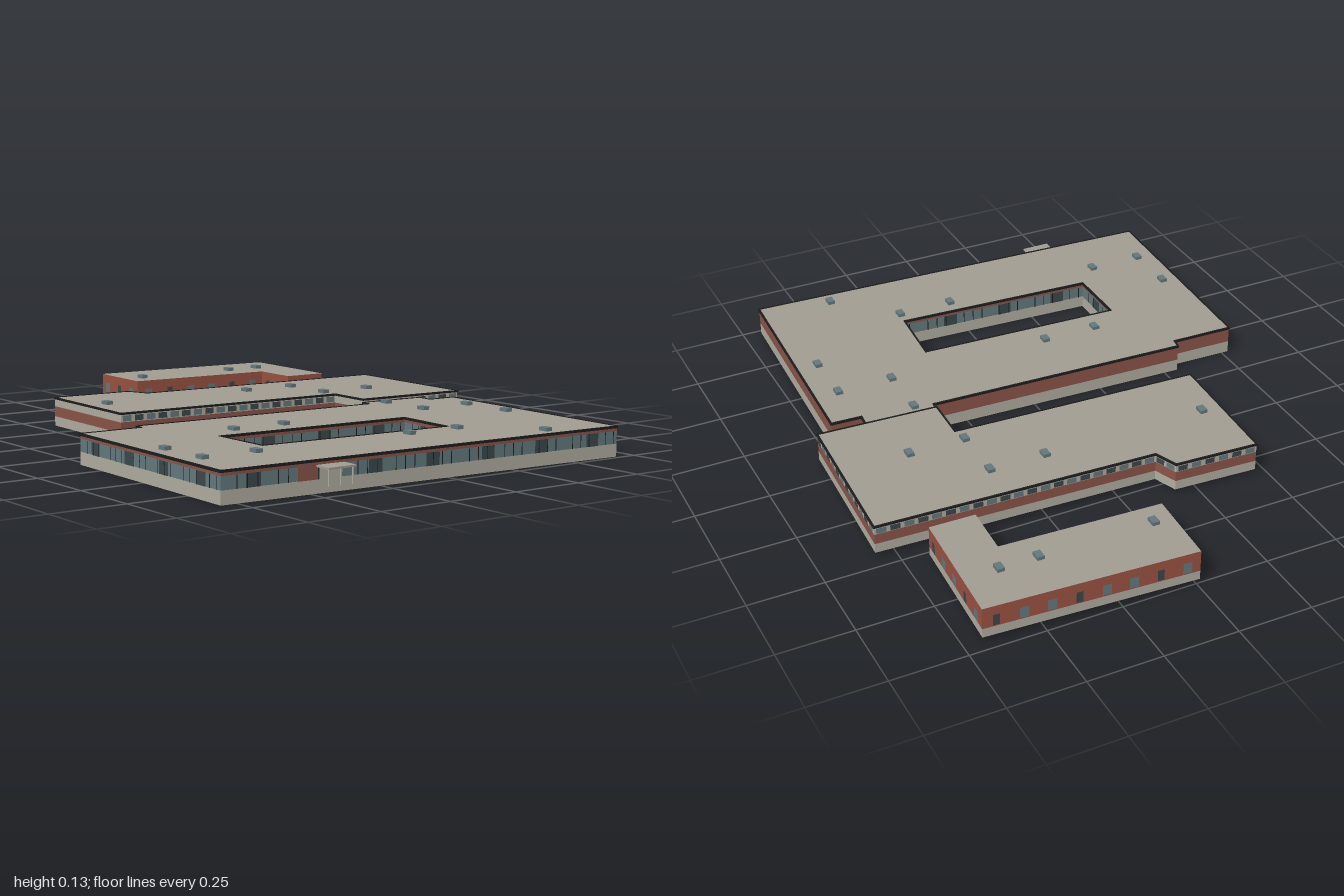
import * as THREE from 'three';
import { mergeGeometries } from 'three/addons/utils/BufferGeometryUtils.js';

const material = (name, color) => {
  const m = new THREE.MeshStandardMaterial({ color, side: THREE.DoubleSide });
  m.name = name;
  return m;
};
const roofMat = material('roof gravel', 0xa29e93);
const concrete = material('concrete', 0xb0aca0);
const brick = material('brick', 0x8a5448);
const redBrick = material('bright brick', 0x9a5242);
const glass = material('glass', 0x64797d);
const darkGlass = material('dark glass', 0x3a484b);
const rimMat = material('black trim', 0x1d1d1d);

function addMesh(group, name, geometry, mat) {
  const mesh = new THREE.Mesh(geometry, mat);
  mesh.name = name;
  group.add(mesh);
}

// Upright rectangle on a wall edge, from s0 to s1 along it, pushed outward by off
function strip([a, b], s0, s1, y0, y1, off = 0) {
  const dx = b[0] - a[0], dz = b[1] - a[1], len = Math.hypot(dx, dz);
  const at = (s, y) => [a[0] + (dx * s + dz * off) / len, y, a[1] + (dz * s - dx * off) / len];
  const g = new THREE.BufferGeometry();
  const p = [at(s0, y0), at(s0, y1), at(s1, y1), at(s1, y0)].flat();
  g.setAttribute('position', new THREE.Float32BufferAttribute(p, 3));
  g.setIndex([0, 1, 2, 0, 2, 3]);
  g.computeVertexNormals();
  return g;
}
const length = ([a, b]) => Math.hypot(b[0] - a[0], b[1] - a[1]);
const edgesOf = (pts) => pts.map((p, i) => [p, pts[(i + 1) % pts.length]]);

// One horizontal band of wall along a list of edges
function band(group, name, edges, y0, y1, mat) {
  addMesh(group, name, mergeGeometries(edges.map((e) => strip(e, 0, length(e), y0, y1))), mat);
}

// Evenly spaced thin panels along edges; keep(i) chooses which are made
function panels(group, name, edges, y0, y1, pitch, width, mat, keep = () => true, off = 0.002) {
  const parts = [];
  for (const e of edges) {
    const len = length(e), n = Math.max(1, Math.round(len / pitch)), step = len / n;
    if (len < width + 0.01) continue;
    for (let i = 0; i < n; i++) {
      const mid = (i + 0.5) * step;
      if (keep(i)) parts.push(strip(e, mid - width / 2, mid + width / 2, y0, y1, off));
    }
  }
  if (parts.length) addMesh(group, name, mergeGeometries(parts), mat);
}

// Flat roof with optional courtyard opening
function roof(group, outline, y, hole) {
  const flip = (pts) => pts.map(([x, z]) => new THREE.Vector2(x, -z));
  const shape = new THREE.Shape(flip(outline));
  if (hole) shape.holes.push(new THREE.Path(flip(hole)));
  addMesh(group, 'roof', new THREE.ShapeGeometry(shape).rotateX(-Math.PI / 2).translate(0, y, 0), roofMat);
}

// Black edge trim around the roof
function trim(group, edges, y0, y1) {
  const parts = edges.map((e) => {
    const [a, b] = e;
    return new THREE.BoxGeometry(length(e) + 0.005, y1 - y0, 0.006)
      .rotateY(-Math.atan2(b[1] - a[1], b[0] - a[0]))
      .translate((a[0] + b[0]) / 2, (y0 + y1) / 2, (a[1] + b[1]) / 2);
  });
  addMesh(group, 'roofTrim', mergeGeometries(parts), rimMat);
}

// Small rooftop vents
function vents(group, spots, y) {
  const parts = spots.map(([x, z]) => new THREE.BoxGeometry(0.034, 0.012, 0.024).translate(x, y + 0.006, z));
  addMesh(group, 'roofVents', mergeGeometries(parts), glass);
}

function mainBuilding() {
  const g = new THREE.Group();
  g.name = 'mainBuilding';
  const outline = [[0.1, -0.62], [0.16, -0.615], [0.165, -0.72], [0.985, -0.685], [0.925, 0.805],
    [0.12, 0.775], [0.125, 0.555], [0.09, 0.55], [0.125, -0.37], [0.087, -0.375]];
  const court = [[0.445, -0.26], [0.415, 0.455], [0.64, 0.455], [0.675, -0.245]];
  const outer = edgesOf(outline), inner = edgesOf(court), all = [...outer, ...inner];
  const glazed = [outer[3], outer[4], ...inner];
  const solid = outer.filter((e) => !glazed.includes(e));
  band(g, 'baseWall', all, 0, 0.042, concrete);
  band(g, 'windowBand', glazed, 0.042, 0.083, glass);
  band(g, 'brickWall', solid, 0.042, 0.083, brick);
  band(g, 'brickFascia', all, 0.083, 0.093, brick);
  panels(g, 'darkWindows', glazed, 0.042, 0.083, 0.07, 0.05, darkGlass, (i) => i % 3 === 1);
  panels(g, 'windowMullions', glazed, 0.042, 0.083, 0.035, 0.003, rimMat, (i) => i % 4 !== 2, 0.003);
  // Brick pier beside the entrance and the entrance door
  addMesh(g, 'brickPier', strip(outer[3], 1.165, 1.235, 0.042, 0.083, 0.004), brick);
  addMesh(g, 'entranceDoor', strip(outer[3], 1.08, 1.16, 0.025, 0.076, 0.004), concrete);
  roof(g, outline, 0.098, court);
  trim(g, all, 0.092, 0.1);
  vents(g, [[0.14, -0.435], [0.335, -0.63], [0.53, -0.63], [0.335, -0.435], [0.92, -0.435],
    [0.725, -0.24], [0.725, -0.045], [0.335, 0.15], [0.335, 0.345], [0.725, 0.54],
    [0.53, 0.73], [0.725, 0.73]], 0.098);
  // Entrance canopy on slim posts
  addMesh(g, 'canopy', new THREE.BoxGeometry(0.06, 0.006, 0.1).translate(0.97, 0.081, 0.435), roofMat);
  const posts = [0.392, 0.435, 0.478].map((z) =>
    new THREE.BoxGeometry(0.004, 0.05, 0.004).translate(0.992, 0.053, z));
  addMesh(g, 'canopyPosts', mergeGeometries(posts), concrete);
  return g;
}

function middleBuilding() {
  const g = new THREE.Group();
  g.name = 'middleBuilding';
  const outline = [[-0.445, -0.815], [0.107, -0.79], [0.087, -0.375], [-0.075, -0.38], [-0.11, 0.485],
    [-0.575, 0.465], [-0.56, 0.175], [-0.48, 0.145]];
  const edges = edgesOf(outline);
  band(g, 'baseWall', edges, 0.012, 0.045, concrete);
  band(g, 'brickWall', edges, 0.045, 0.08, brick);
  band(g, 'clerestoryWall', edges, 0.08, 0.106, concrete);
  const sides = edges.filter((e, i) => i !== 4 && i !== 2);
  panels(g, 'clerestoryWindows', sides, 0.083, 0.102, 0.045, 0.033, glass, (i) => i % 2 === 0);
  panels(g, 'darkClerestoryWindows', sides, 0.083, 0.102, 0.045, 0.033, darkGlass, (i) => i % 2 === 1);
  roof(g, outline, 0.11);
  trim(g, edges, 0.105, 0.112);
  vents(g, [[-0.325, -0.37], [-0.325, -0.175], [-0.325, 0.405], [-0.13, -0.565], [-0.13, -0.37]], 0.11);
  return g;
}

function smallBuilding() {
  const g = new THREE.Group();
  g.name = 'smallBuilding';
  const outline = [[-0.96, -0.69], [-0.53, -0.67], [-0.533, -0.515], [-0.71, -0.522], [-0.735, 0.025], [-1, 0.012]];
  const edges = edgesOf(outline);
  band(g, 'baseWall', edges, 0.014, 0.045, concrete);
  band(g, 'brickWall', edges, 0.045, 0.118, redBrick);
  panels(g, 'windows', edges, 0.05, 0.088, 0.088, 0.03, glass, (i) => i % 3 !== 1);
  panels(g, 'darkWindows', edges, 0.05, 0.088, 0.088, 0.022, darkGlass, (i) => i % 3 === 1);
  roof(g, outline, 0.118);
  vents(g, [[-0.81, -0.565], [-0.81, -0.435], [-0.81, -0.045]], 0.118);
  return g;
}

export function createModel() {
  const model = new THREE.Group();
  model.name = 'lowBuildingComplex';
  model.add(mainBuilding(), middleBuilding(), smallBuilding());
  return model;
}
